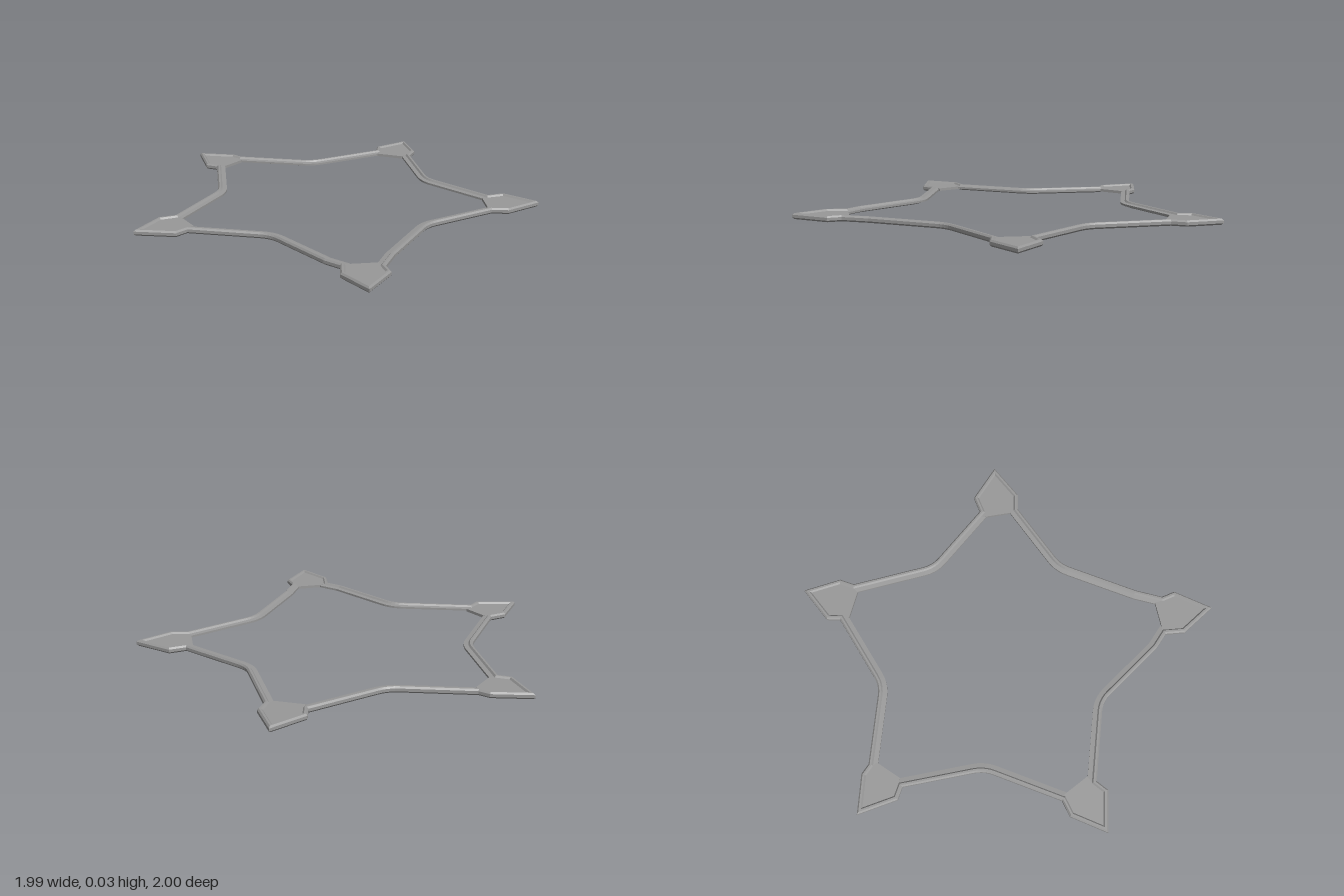
import * as THREE from 'three';

// Each arm: outline of the arrow tip [neck, shoulder, tip, shoulder, neck] and
// the plate's inner edge; then the outer corners of the band to the next arm.
// All points are [x, z]; bend is the index of the rounded band corner.
const ARMS = [
  { tip: [[-0.08, 0.74], [-0.09, 0.835], [0.013, 1.0], [0.133, 0.835], [0.118, 0.768]],
    inner: [[0.093, 0.727], [-0.066, 0.73]], band: [[0.178, 0.645], [0.4, 0.31]], bend: 1 },
  { tip: [[0.74, 0.15], [0.82, 0.166], [0.996, 0.075], [0.848, -0.062], [0.765, -0.046]],
    inner: [[0.73, -0.04], [0.727, 0.11]], band: [[0.52, -0.343]], bend: 0 },
  { tip: [[0.484, -0.745], [0.522, -0.81], [0.498, -0.997], [0.322, -0.907], [0.307, -0.842]],
    inner: [[0.31, -0.795], [0.435, -0.735]], band: [[-0.075, -0.71]], bend: 0 },
  { tip: [[-0.455, -0.812], [-0.495, -0.852], [-0.685, -0.902], [-0.652, -0.702], [-0.595, -0.67]],
    inner: [[-0.55, -0.675], [-0.455, -0.77]], band: [[-0.6, -0.28]], bend: 0 },
  { tip: [[-0.805, 0.06], [-0.887, 0.082], [-0.996, 0.242], [-0.797, 0.286], [-0.745, 0.242]],
    inner: [[-0.715, 0.2], [-0.778, 0.078]], band: [[-0.37, 0.362], [-0.145, 0.678]], bend: 0 },
];

// Rim cross-section [inset, height]: bevelled lip outside, lower ledge inside
const PROFILE = [[0, 0.008], [0, 0.022], [0.007, 0.03], [0.016, 0.03], [0.023, 0.022], [0.045, 0.02],
  [0.045, 0.01], [0.023, 0.008], [0.016, 0], [0.007, 0]];

const vec = ([x, z]) => new THREE.Vector2(x, z);

// Round a bend with a short quadratic curve
function roundCorner(prev, corner, next) {
  const c = corner.clone().multiplyScalar(1 - 0.008 / corner.length());
  const toward = (p) => p.clone().sub(c).setLength(0.05).add(c);
  return new THREE.QuadraticBezierCurve(toward(prev), c, toward(next)).getPoints(5);
}

// Inward mitre direction at every point of the closed outline
function mitres(points) {
  const n = points.length;
  const normal = (a, b) => new THREE.Vector2(b.y - a.y, a.x - b.x).normalize();
  return points.map((p, i) => {
    const n1 = normal(points[(i + n - 1) % n], p);
    const n2 = normal(p, points[(i + 1) % n]);
    return n1.clone().add(n2).divideScalar(1 + n1.dot(n2));
  });
}

// Closed sweep of the rim section along the outline
function sweepRim(points, dirs) {
  const pos = [], index = [], m = PROFILE.length, n = points.length;
  points.forEach((p, i) => {
    for (const [d, y] of PROFILE) pos.push(p.x + dirs[i].x * d, y, p.y + dirs[i].y * d);
  });
  for (let i = 0; i < n; i++) {
    for (let j = 0; j < m; j++) {
      const i2 = (i + 1) % n, j2 = (j + 1) % m;
      const a = i * m + j, b = i2 * m + j, c = i2 * m + j2, d = i * m + j2;
      index.push(a, b, c, a, c, d);
    }
  }
  const geo = new THREE.BufferGeometry();
  geo.setAttribute('position', new THREE.Float32BufferAttribute(pos, 3));
  geo.setIndex(index);
  const flat = geo.toNonIndexed();
  flat.computeVertexNormals();
  return flat;
}

export function createModel() {
  const group = new THREE.Group();
  group.name = 'starFrame';
  const material = new THREE.MeshStandardMaterial({ color: 0x999999, flatShading: true });

  // Full outline of the star
  const outline = [], starts = [];
  ARMS.forEach((arm, k) => {
    const next = ARMS[(k + 1) % ARMS.length].tip[0];
    starts.push(outline.length);
    outline.push(...arm.tip.map(vec));
    const chain = [arm.tip[4], ...arm.band, next].map(vec);
    arm.band.forEach((p, i) => {
      if (i === arm.bend) outline.push(...roundCorner(chain[i], chain[i + 1], chain[i + 2]));
      else outline.push(vec(p));
    });
  });
  const dirs = mitres(outline);

  const rim = new THREE.Mesh(sweepRim(outline, dirs), material);
  rim.name = 'rim';
  group.add(rim);

  // Flat plates filling the five arrow tips
  ARMS.forEach((arm, k) => {
    const edge = arm.tip.map((_, i) => {
      const s = starts[k] + i;
      return outline[s].clone().addScaledVector(dirs[s], 0.019);
    });
    const shape = new THREE.Shape([...edge, ...arm.inner.map(vec)].map((p) => new THREE.Vector2(p.x, -p.y)));
    const geo = new THREE.ExtrudeGeometry(shape, { depth: 0.014, bevelEnabled: false });
    geo.rotateX(-Math.PI / 2).translate(0, 0.008, 0);
    const plate = new THREE.Mesh(geo, material);
    plate.name = 'tipPlate' + (k + 1);
    group.add(plate);
  });
  return group;
}
